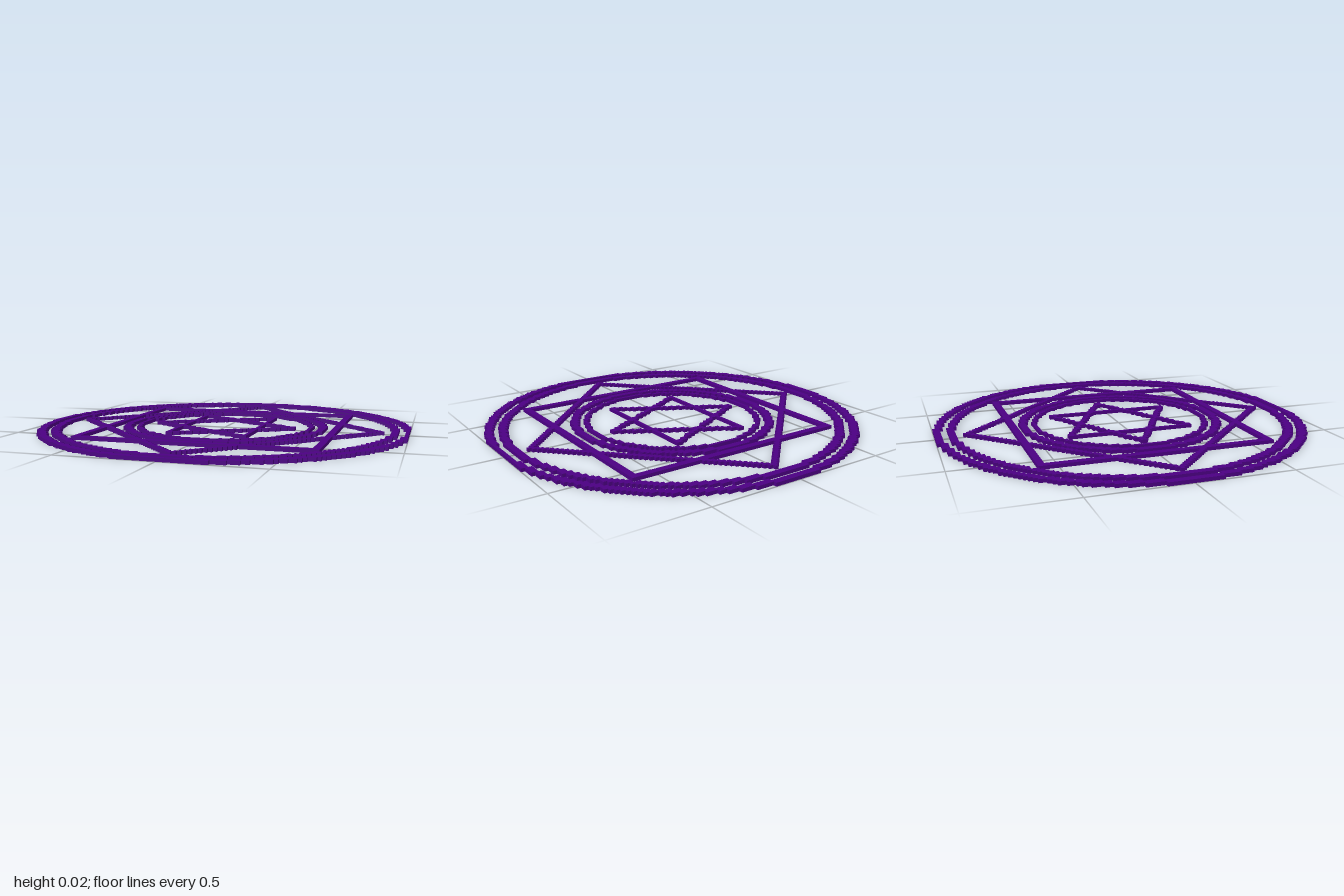
import * as THREE from 'three';
import { mergeGeometries } from 'three/addons/utils/BufferGeometryUtils.js';

const HALF = 55;          // grid cells from the middle to the edge
const CELL = 1 / HALF;    // size of one block

// Fill every grid cell accepted by test(x, z), joining neighbours along x into one bar
function blocks(name, material, test) {
  const bars = [];
  for (let z = -HALF; z < HALF; z++) {
    let start = null;
    for (let x = -HALF; x <= HALF; x++) {
      const filled = x < HALF && test(x, z);
      if (filled && start === null) start = x;
      if (!filled && start !== null) {
        const bar = new THREE.BoxGeometry((x - start) * CELL, CELL, CELL);
        bar.translate(((start + x) / 2) * CELL, CELL / 2, (z + 0.5) * CELL);
        bars.push(bar);
        start = null;
      }
    }
  }
  const mesh = new THREE.Mesh(mergeGeometries(bars), material);
  mesh.name = name;
  return mesh;
}

// Ring of blocks between two whole-cell radii
const ring = (inner, outer) => (x, z) => {
  const d = Math.round(Math.hypot(x, z));
  return d >= inner && d <= outer;
};

// Stepped line of blocks between two cells
function line(x0, z0, x1, z1) {
  const dx = x1 - x0, dz = z1 - z0, len = Math.hypot(dx, dz);
  return (x, z) => {
    const along = ((x - x0) * dx + (z - z0) * dz) / len;
    const off = Math.abs((x - x0) * dz - (z - z0) * dx) / len;
    return off < 0.62 && along > -0.5 && along < len + 0.5;
  };
}

// Triangle with an upright side at x = side and its point at x = tip
function triangle(side, tip) {
  const edges = [
    line(side, -19, side, 18),
    line(side, -19, tip, -0.5),
    line(side, 18, tip, -0.5),
  ];
  return (x, z) => edges.some((edge) => edge(x, z));
}

export function createModel() {
  const group = new THREE.Group();
  group.name = 'ritualCircle';
  const indigo = new THREE.MeshStandardMaterial({ color: 0x4b0082 });
  indigo.name = 'indigo';

  const parts = {
    outerRing: ring(54, 55),
    secondRing: ring(50, 51),
    innerRing: ring(29, 30),
    thinRing: ring(26, 26),
    square: (x, z) => {
      const a = Math.abs(x), b = Math.abs(z);
      return a <= 34 && b <= 33 && (a >= 33 || b >= 32);
    },
    diamond: (x, z) => {
      const sum = Math.abs(x) + Math.abs(z);
      return sum === 46 || sum === 47;
    },
    // Two crossed triangles form the six-pointed star
    starTriangleLeft: triangle(-12, 21),
    starTriangleRight: triangle(11, -22),
  };
  for (const [name, test] of Object.entries(parts)) group.add(blocks(name, indigo, test));
  return group;
}
